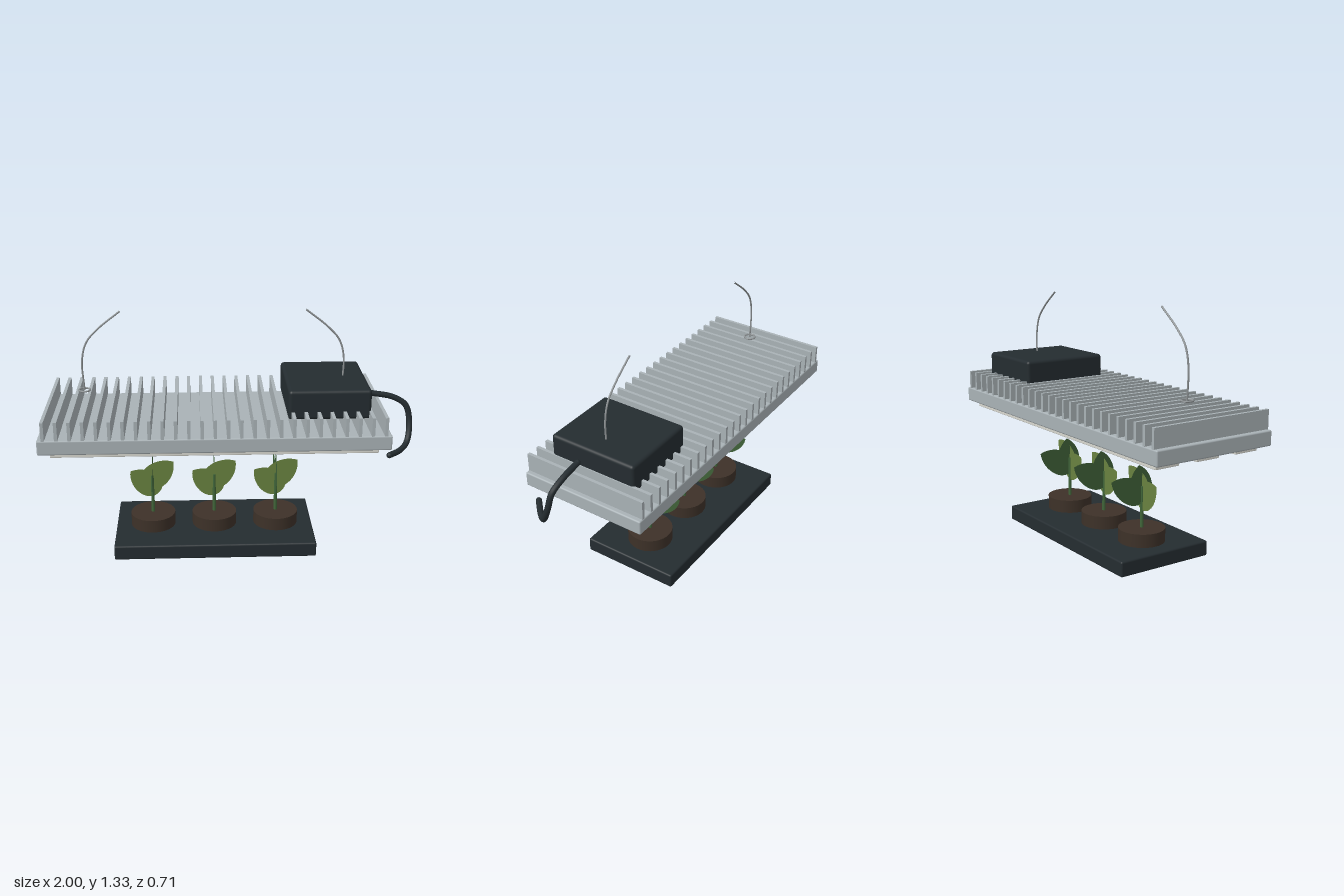
import * as THREE from 'three';
import { RoundedBoxGeometry } from 'three/addons/geometries/RoundedBoxGeometry.js';

const CX = -0.08; // middle of the lamp and tray; the cable overhangs to the left
const mat = (color, extra = {}) => new THREE.MeshStandardMaterial({ color, ...extra });

const metal = mat(0xa9b2b6);
const wireMetal = mat(0x8f9496);
const barWhite = mat(0xd8d8d0);
const chipYellow = mat(0xc8a040);
const darkPlastic = mat(0x242c30);
const soil = mat(0x3d3128);
const stemGreen = mat(0x41663a);
const leafLight = mat(0x68813f, { side: THREE.DoubleSide });
const leafDark = mat(0x3f6138, { side: THREE.DoubleSide });

function add(parent, name, geometry, material, x = 0, y = 0, z = 0) {
  const mesh = new THREE.Mesh(geometry, material);
  mesh.name = name;
  mesh.position.set(x, y, z);
  parent.add(mesh);
  return mesh;
}

function group(parent, name, x = 0) {
  const g = new THREE.Group();
  g.name = name;
  g.position.x = x;
  parent.add(g);
  return g;
}

function tube(points, radius, sides) {
  const curve = new THREE.CatmullRomCurve3(points.map((p) => new THREE.Vector3(...p)));
  return new THREE.TubeGeometry(curve, 48, radius, sides);
}

// Flat pointed leaf from a base point to a tip, in its own xy plane
function leafGeometry([bx, by], [tx, ty], halfWidth) {
  const dx = tx - bx, dy = ty - by;
  const L = Math.hypot(dx, dy), w = halfWidth * 1.32;
  const s = new THREE.Shape();
  s.moveTo(0, 0);
  s.bezierCurveTo(w, 0, w, L * 0.72, 0, L);
  s.bezierCurveTo(-w, L * 0.72, -w, 0, 0, 0);
  return new THREE.ShapeGeometry(s, 16).rotateZ(Math.atan2(dy, dx) - Math.PI / 2).translate(bx, by, 0);
}

function buildLamp(root) {
  const lamp = group(root, 'lamp', CX);

  // Heat sink: plate with upright fins
  add(lamp, 'plate', new RoundedBoxGeometry(1.84, 0.08, 0.71, 3, 0.008), metal, 0, 0.705, 0);
  const finGeo = new THREE.BoxGeometry(0.017, 0.102, 0.705);
  for (let i = 0; i < 27; i++) add(lamp, 'fin', finGeo, metal, (i - 13) * 0.0682, 0.794, 0);

  // Light bars with rows of chips underneath
  const barGeo = new RoundedBoxGeometry(1.72, 0.024, 0.14, 2, 0.004);
  const chipGeo = new THREE.BoxGeometry(0.044, 0.008, 0.05);
  for (const z of [-0.245, 0, 0.245]) {
    add(lamp, 'lightBar', barGeo, barWhite, 0, 0.646, z);
    for (let i = 0; i < 24; i++) add(lamp, 'lightChip', chipGeo, chipYellow, (i - 11.5) * 0.0695, 0.631, z);
  }

  // Corner screws
  const screwGeo = new THREE.CylinderGeometry(0.009, 0.009, 0.03, 12);
  for (const sx of [-1, 1]) for (const sz of [-1, 1]) add(lamp, 'screw', screwGeo, wireMetal, sx * 0.825, 0.757, sz * 0.29);

  // Hanging wires with eyelets, mirrored
  for (const s of [-1, 1]) {
    const wire = [[0.697, 0.895], [0.702, 1.06], [0.675, 1.16], [0.61, 1.235], [0.49, 1.33]];
    add(lamp, 'hangingWire', tube(wire.map(([x, y]) => [s * x, y, 0]), 0.005, 8), wireMetal);
    add(lamp, 'eyelet', new THREE.TorusGeometry(0.03, 0.005, 8, 28).rotateX(Math.PI / 2), wireMetal, s * 0.697, 0.895, 0);
  }
}

function buildDriver(root) {
  // Power box and its cable with closed ends
  add(root, 'powerBox', new RoundedBoxGeometry(0.436, 0.16, 0.5, 4, 0.018), darkPlastic, 0.523, 0.88, 0);
  const path = [[0.77, 0.88, 0.066], [0.89, 0.855, 0.066], [0.96, 0.81, 0.075], [0.982, 0.72, 0.092],
    [0.966, 0.625, 0.14], [0.92, 0.6, 0.2], [0.845, 0.603, 0.277]];
  add(root, 'cable', tube(path, 0.016, 12), darkPlastic);
  for (const p of [path[0], path[path.length - 1]]) add(root, 'cableEnd', new THREE.SphereGeometry(0.016, 12, 8), darkPlastic, ...p);
}

function buildPlants(root) {
  add(root, 'tray', new RoundedBoxGeometry(1.11, 0.083, 0.56, 3, 0.01), darkPlastic, CX, 0.0415, 0);

  const potGeo = new THREE.CylinderGeometry(0.125, 0.125, 0.073, 40);
  const stemGeo = new THREE.CylinderGeometry(0.008, 0.01, 0.23, 12);
  const frontLeaves = [
    leafGeometry([-0.045, 0.32], [0.12, 0.462], 0.075),
    leafGeometry([0.04, 0.277], [-0.122, 0.405], 0.075),
  ];
  // Turned a quarter so that the leaf's x runs to -z
  const sideLeaves = [
    leafGeometry([0, 0.282], [0.02, 0.496], 0.076),
    leafGeometry([-0.02, 0.31], [0.198, 0.43], 0.07),
  ].map((g) => g.rotateY(Math.PI / 2));

  for (const i of [-1, 0, 1]) {
    const plant = group(root, 'plant', CX + i * 0.348);
    add(plant, 'pot', potGeo, soil, 0, 0.1185, 0);
    add(plant, 'stem', stemGeo, stemGreen, 0, 0.265, 0);
    frontLeaves.forEach((g, k) => add(plant, 'frontLeaf', g, leafLight, 0, 0, k ? -0.001 : 0.001));
    sideLeaves.forEach((g, k) => add(plant, 'sideLeaf', g, leafDark, k ? -0.001 : 0.001, 0, 0));
  }
}

export function createModel() {
  const root = new THREE.Group();
  root.name = 'growLight';
  buildLamp(root);
  buildDriver(root);
  buildPlants(root);
  return root;
}
